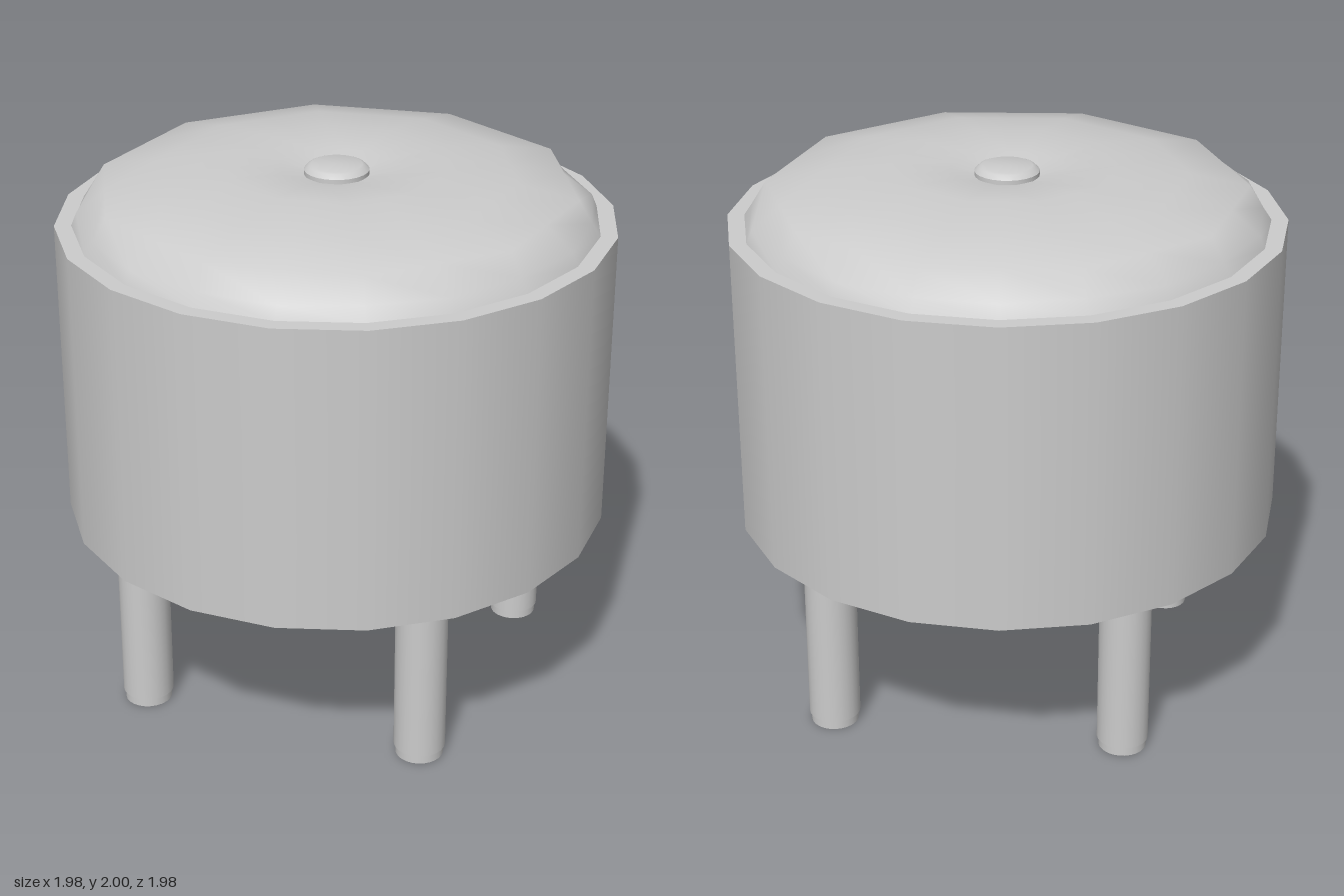
import * as THREE from 'three';
import { mergeVertices, toCreasedNormals } from 'three/addons/utils/BufferGeometryUtils.js';

const SIDES = 20;
const material = new THREE.MeshStandardMaterial({ color: 0xcccccc });

function add(parent, name, geometry, x = 0, y = 0, z = 0) {
  const mesh = new THREE.Mesh(geometry, material);
  mesh.name = name;
  mesh.position.set(x, y, z);
  parent.add(mesh);
  return mesh;
}

const lathe = (points, sides) =>
  new THREE.LatheGeometry(points.map(([r, y]) => new THREE.Vector2(r, y)), sides);

// Weld the seam and recompute smooth normals
function smooth(geometry) {
  geometry.deleteAttribute('uv');
  geometry.deleteAttribute('normal');
  const welded = mergeVertices(geometry, 1e-4);
  welded.computeVertexNormals();
  return welded;
}

// Padded top: a 20-sided rim that pulls in to a 10-sided crown with a dimple
function cushionGeometry() {
  const profile = [
    [0.93, 1.8], [0.90, 1.845], [0.85, 1.925], [0.64, 1.968],
    [0.4, 1.998], [0.2, 1.98], [0.1, 1.955], [0, 1.95],
  ];
  const geometry = lathe(profile, SIDES);
  const pos = geometry.attributes.position;
  const flat = Math.cos(Math.PI / 10);
  for (let i = 0; i <= SIDES; i += 2) {
    for (let j = 1; j < profile.length; j++) {
      const k = i * profile.length + j;
      const s = j === 1 ? 1.012 : flat;
      pos.setX(k, pos.getX(k) * s);
      pos.setZ(k, pos.getZ(k) * s);
    }
  }
  return smooth(geometry);
}

export function createModel() {
  const group = new THREE.Group();
  group.name = 'roundStool';

  // Upholstered drum
  const drum = new THREE.CylinderGeometry(0.99, 0.99, 1.1, SIDES);
  add(group, 'drum', drum, 0, 1.25, 0);

  // Cushion and its tufting button
  add(group, 'cushion', cushionGeometry());
  const button = lathe([
    [0.1, 1.94], [0.115, 1.955], [0.115, 1.975], [0.1, 1.99], [0.09, 1.994], [0, 1.994],
  ], 24);
  add(group, 'button', toCreasedNormals(button, 0.6));

  // Shallow bowl under the drum
  const bowl = lathe([
    [0, 0.46], [0.2, 0.47], [0.4, 0.493], [0.58, 0.527],
    [0.73, 0.57], [0.84, 0.62], [0.91, 0.67], [0.92, 0.7],
  ], SIDES);
  add(group, 'underside', smooth(bowl));

  // Four legs with narrower feet
  const legGeometry = new THREE.CylinderGeometry(0.093, 0.093, 0.645, 24);
  const footGeometry = new THREE.CylinderGeometry(0.086, 0.086, 0.04, 24);
  const spots = [
    ['frontLeg', 0, 0.737], ['backLeg', 0, -0.737],
    ['leftLeg', 0.77, 0], ['rightLeg', -0.77, 0],
  ];
  for (const [name, x, z] of spots) {
    const leg = new THREE.Group();
    leg.name = name;
    leg.position.set(x, 0, z);
    add(leg, 'post', legGeometry, 0, 0.3575, 0);
    add(leg, 'foot', footGeometry, 0, 0.02, 0);
    group.add(leg);
  }
  return group;
}
